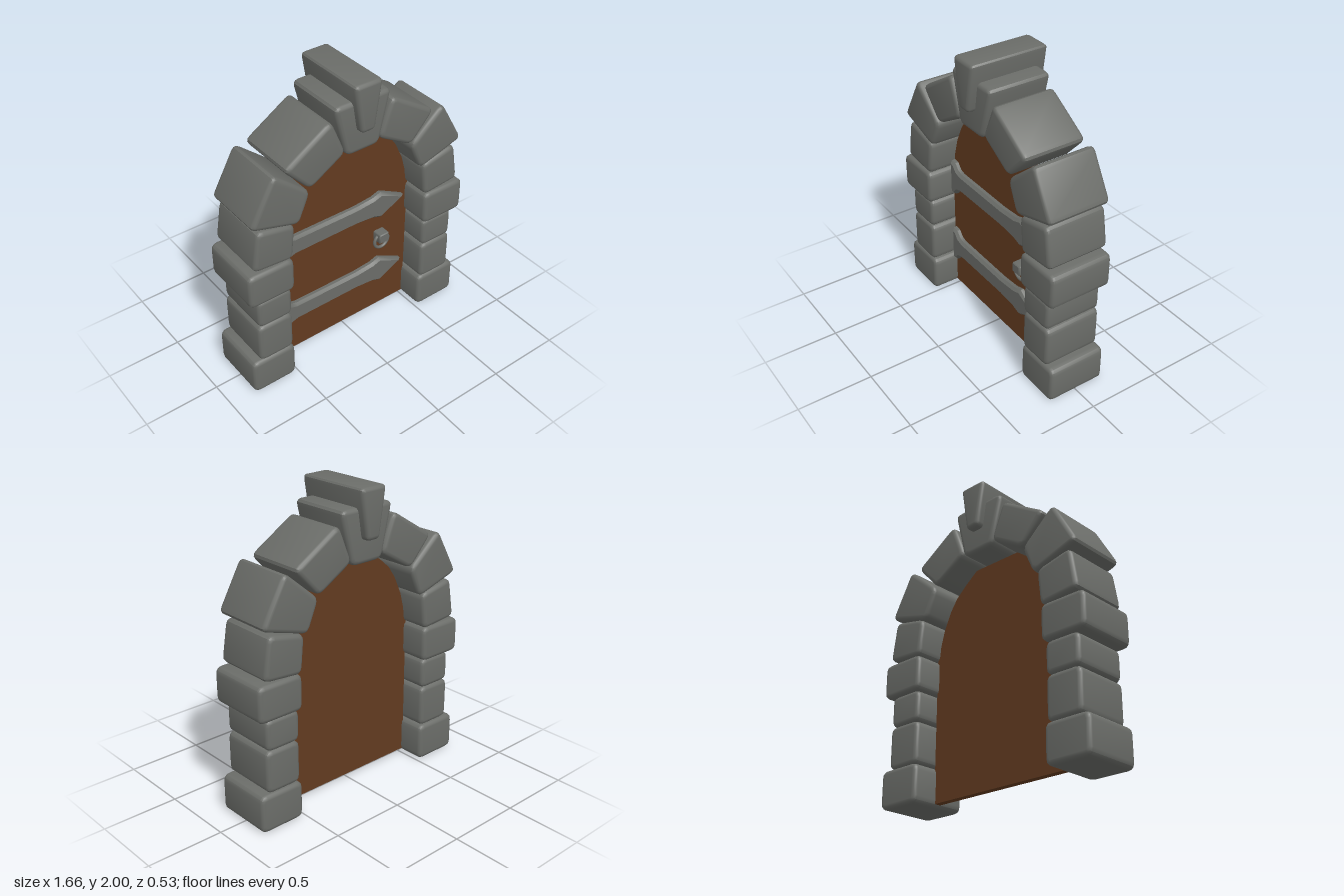
import * as THREE from 'three';
import { toCreasedNormals } from 'three/addons/utils/BufferGeometryUtils.js';

const stoneMat = new THREE.MeshStandardMaterial({ color: 0x6b6d69 });
stoneMat.name = 'greyStone';
const woodMat = new THREE.MeshStandardMaterial({ color: 0x633b20 });
woodMat.name = 'brownWood';

// Closed outline with softened corners
function roundedShape(points, r) {
  const shape = new THREE.Shape();
  const pts = points.map(([x, y]) => new THREE.Vector2(x, y));
  pts.forEach((p, i) => {
    const toward = q => q.clone().sub(p).setLength(r).add(p);
    const a = toward(pts[(i + pts.length - 1) % pts.length]);
    const b = toward(pts[(i + 1) % pts.length]);
    if (i === 0) shape.moveTo(a.x, a.y);
    else shape.lineTo(a.x, a.y);
    shape.quadraticCurveTo(p.x, p.y, b.x, b.y);
  });
  shape.closePath();
  return shape;
}

// Bevelled block between two depths
function block(name, shape, back, front, bevel, material, segments = 3) {
  const geo = new THREE.ExtrudeGeometry(shape, {
    depth: front - back - 2 * bevel, curveSegments: 3, bevelEnabled: bevel > 0,
    bevelSize: bevel, bevelThickness: bevel, bevelOffset: -bevel, bevelSegments: segments,
  });
  geo.translate(0, 0, back + bevel);
  const mesh = new THREE.Mesh(toCreasedNormals(geo, 0.6), material);
  mesh.name = name;
  return mesh;
}

const stone = (name, pts, back, front) =>
  block(name, roundedShape(pts, 0.045), back, front, 0.026, stoneMat);

const rect = (x0, x1, y0, y1) => [[x0, y0], [x1, y0], [x1, y1], [x0, y1]];

export function createModel() {
  const model = new THREE.Group();
  model.name = 'archedDoor';

  // Stones of one side, from the ground up, mirrored to the other
  const sideStones = [
    ['baseStone', rect(0.515, 0.83, 0, 0.25), -0.2, 0.2],
    ['lowerPierStone', rect(0.525, 0.775, 0.25, 0.53), -0.19, 0.2],
    ['middlePierStone', rect(0.525, 0.77, 0.53, 0.735), -0.19, 0.2],
    ['capPierStone', rect(0.51, 0.832, 0.735, 0.97), -0.21, 0.22],
    ['springerStone', [[0.51, 0.965], [0.79, 0.99], [0.745, 1.265], [0.487, 1.21]], -0.21, 0.21],
    ['haunchStone', [[0.46, 1.2], [0.795, 1.3], [0.62, 1.61], [0.375, 1.4]], -0.21, 0.215],
    ['shoulderStone', [[0.12, 1.56], [0.375, 1.41], [0.55, 1.6], [0.22, 1.805]], -0.21, 0.212],
  ];
  for (const side of [-1, 1]) {
    const pier = new THREE.Group();
    pier.name = side > 0 ? 'leftStones' : 'rightStones';
    for (const [name, pts, back, front] of sideStones) {
      pier.add(stone(name, pts.map(([x, y]) => [x * side, y]), back, front));
    }
    model.add(pier);
  }

  // Crown stone and the wedge driven through it
  model.add(stone('crownStone', [[-0.12, 1.53], [0.12, 1.53], [0.205, 1.877], [-0.205, 1.877]], -0.21, 0.215));
  model.add(block('keystone', roundedShape([[-0.05, 1.68], [0.05, 1.68], [0.1, 2], [-0.1, 2]], 0.03),
    -0.265, 0.265, 0.026, stoneMat));

  // Door leaf with arched top
  const half = [[0.525, 0.02], [0.525, 0.98], [0.47, 1.18], [0.415, 1.3], [0.36, 1.38], [0.28, 1.45], [0.18, 1.525]];
  const outline = [...half, ...half.map(([x, y]) => [-x, y]).reverse()];
  const doorShape = new THREE.Shape(outline.map(([x, y]) => new THREE.Vector2(x, y)));
  model.add(block('doorLeaf', doorShape, -0.025, 0.02, 0, woodMat));

  // Strap hinges with spear ends
  const edge = [[-0.51, 0.125], [-0.465, 0.12], [-0.43, 0.08], [-0.39, 0.068],
    [0.08, 0.066], [0.22, 0.078], [0.285, 0.1]];
  const strap = [...edge, [0.475, 0], ...edge.map(([x, y]) => [x, -y]).reverse()];
  for (const [name, y] of [['upperHinge', 0.9], ['lowerHinge', 0.355]]) {
    const shape = new THREE.Shape(strap.map(([px, py]) => new THREE.Vector2(px, py)));
    const hinge = block(name, shape, 0, 0.06, 0.018, stoneMat, 1);
    hinge.position.y = y;
    model.add(hinge);
  }

  // Ring handle hanging from its mount
  const handle = new THREE.Group();
  handle.name = 'handle';
  handle.position.set(0.292, 0.61, 0);
  const mount = block('handleMount', roundedShape(rect(-0.038, 0.038, 0, 0.07), 0.008), 0.01, 0.09, 0.006, stoneMat, 1);
  const ring = new THREE.Mesh(new THREE.TorusGeometry(0.056, 0.011, 8, 24), stoneMat);
  ring.name = 'handleRing';
  ring.position.z = 0.055;
  handle.add(mount, ring);
  model.add(handle);

  return model;
}
